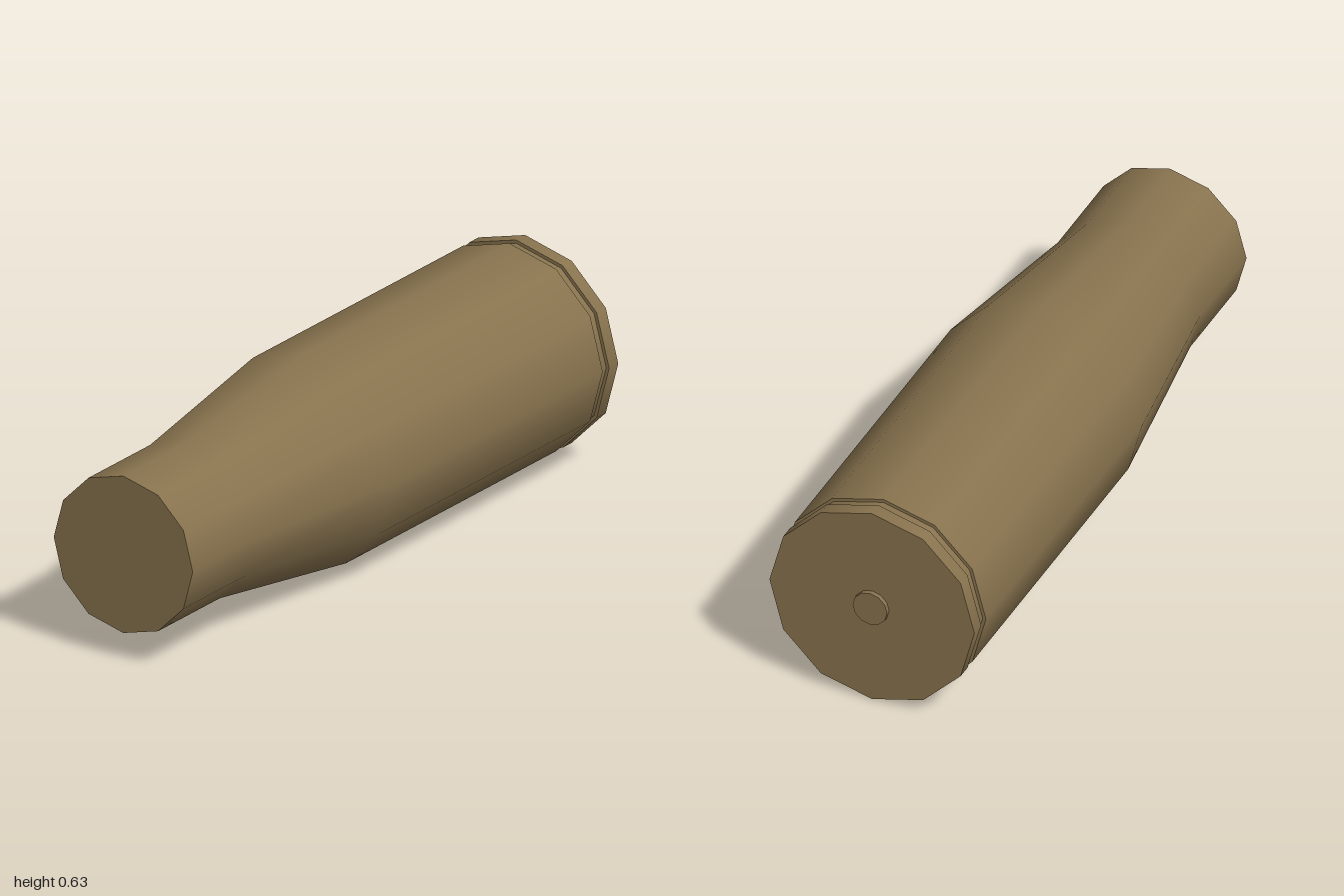
import * as THREE from 'three';

const SIDES = 12;
const R = 0.316;       // body radius
const NECK = 0.236;    // neck radius
const GROOVE = 0.306;  // groove floor radius

export function createModel() {
  const model = new THREE.Group();
  model.name = 'shellCasing';
  const brass = new THREE.MeshStandardMaterial({ color: 0x88734e });
  brass.name = 'dull brass';

  // One smooth band turned about the z axis; points are [radius, z], back to front
  const band = (name, points, parent) => {
    const geometry = new THREE.LatheGeometry(points.map(([r, z]) => new THREE.Vector2(r, z)), SIDES);
    geometry.rotateX(Math.PI / 2);
    const mesh = new THREE.Mesh(geometry, brass);
    mesh.name = name;
    parent.add(mesh);
  };

  // Each part is a list of bands that meet at sharp edges
  const parts = {
    primer: {
      primerFace: [[0, -1], [0.053, -1]],
      primerSide: [[0.053, -1], [0.053, -0.986]],
    },
    rim: {
      rimBack: [[0, -0.986], [R, -0.986]],
      rimSide: [[R, -0.986], [R, -0.941]],
      rimFront: [[R, -0.941], [GROOVE, -0.941]],
    },
    groove: {
      grooveFloor: [[GROOVE, -0.941], [GROOVE, -0.909]],
    },
    casing: {
      bodyBack: [[GROOVE, -0.909], [R, -0.909]],
      bodyAndNeck: [[R, -0.909], [R, 0.13], [NECK, 0.695], [NECK, 1]],
      mouthCap: [[NECK, 1], [0, 1]],
    },
  };
  for (const [name, bands] of Object.entries(parts)) {
    const group = new THREE.Group();
    group.name = name;
    for (const [bandName, points] of Object.entries(bands)) band(bandName, points, group);
    model.add(group);
  }

  // Lay the casing on the ground
  for (const part of model.children) part.position.y = R;
  return model;
}
